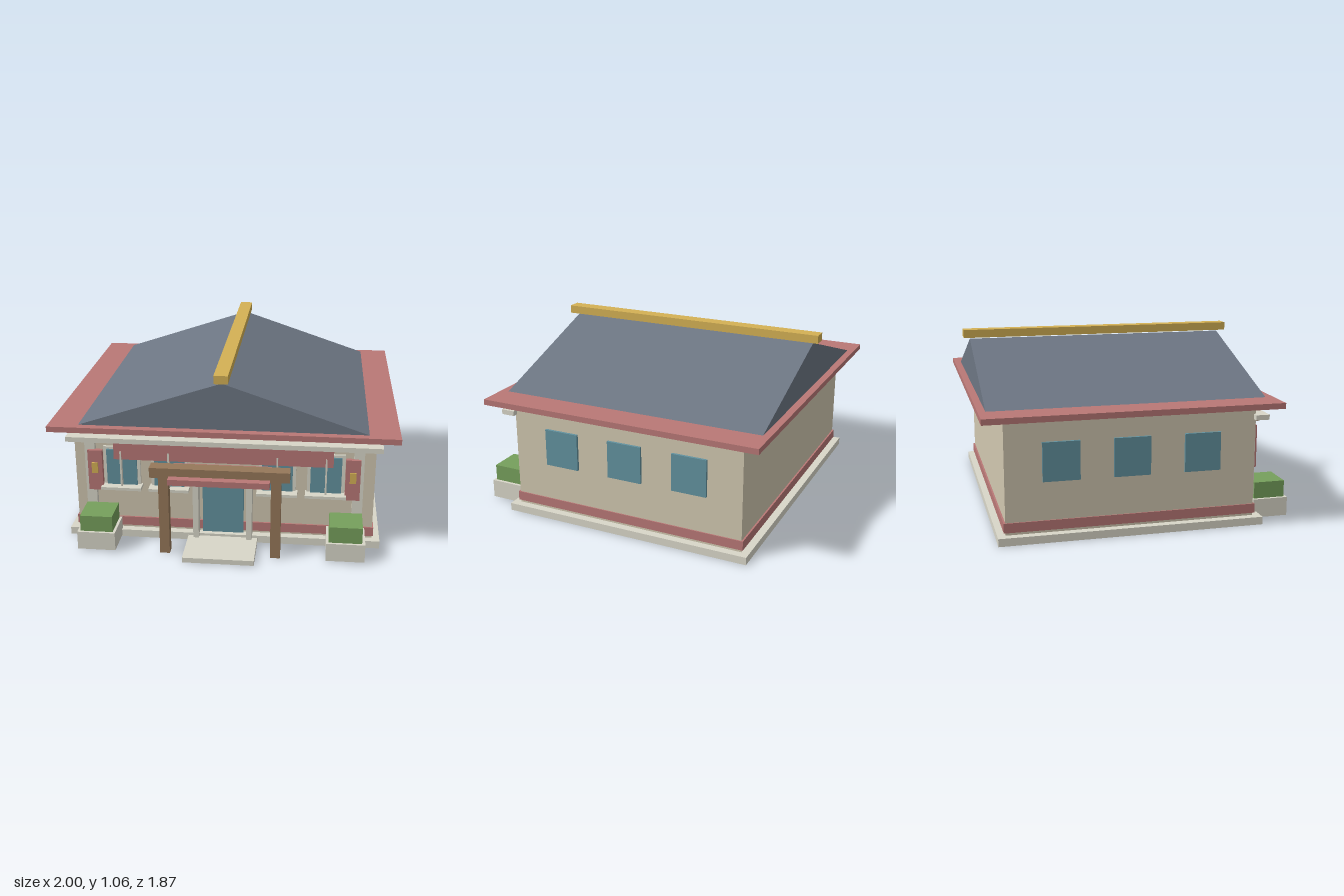
import * as THREE from 'three';

const COLORS = {
  wall: 0xd1c7b0, pale: 0xd9d7c9, red: 0xb97876, slate: 0x6d7683,
  gold: 0xd4b155, glass: 0x63929f, wood: 0x96785a, green: 0x76a05c,
};
const MATERIALS = {};
for (const key in COLORS) {
  MATERIALS[key] = new THREE.MeshStandardMaterial({ color: COLORS[key], flatShading: true });
}

export function createModel() {
  const model = new THREE.Group();
  model.name = 'hall';

  // Box given by its extents along each axis
  function box(name, mat, [x0, x1], [y0, y1], [z0, z1]) {
    const mesh = new THREE.Mesh(new THREE.BoxGeometry(x1 - x0, y1 - y0, z1 - z0), MATERIALS[mat]);
    mesh.position.set((x0 + x1) / 2, (y0 + y1) / 2, (z0 + z1) / 2);
    mesh.name = name;
    model.add(mesh);
    return mesh;
  }
  // The same box on both sides of x = 0
  function pair(name, mat, [x0, x1], y, z) {
    box(name + 'Left', mat, [x0, x1], y, z);
    box(name + 'Right', mat, [-x1, -x0], y, z);
  }

  // Body
  box('foundation', 'pale', [-0.92, 0.92], [0, 0.045], [-0.85, 0.665]);
  box('walls', 'wall', [-0.875, 0.875], [0.04, 0.7], [-0.805, 0.62]);
  box('baseBand', 'red', [-0.882, 0.882], [0.06, 0.115], [-0.815, 0.63]);

  // Roof: eave slab, gabled prism and ridge beam
  box('eaveSlab', 'red', [-1, 1], [0.692, 0.725], [-0.93, 0.745]);
  const gable = new THREE.Shape([
    new THREE.Vector2(-0.94, 0.687),
    new THREE.Vector2(0.94, 0.687),
    new THREE.Vector2(0, 1),
  ]);
  const roof = new THREE.Mesh(
    new THREE.ExtrudeGeometry(gable, { depth: 1.585, bevelEnabled: false }), MATERIALS.slate);
  roof.position.z = -0.888;
  roof.name = 'roof';
  model.add(roof);
  box('ridgeBeam', 'gold', [-0.04, 0.04], [1.01, 1.058], [-0.927, 0.738]);

  // Front trim
  box('cornice', 'pale', [-0.91, 0.91], [0.613, 0.642], [0.61, 0.69]);
  pair('pilaster', 'pale', [0.75, 0.81], [0.045, 0.615], [0.61, 0.65]);
  box('signBoard', 'red', [-0.635, 0.635], [0.505, 0.614], [0.61, 0.668]);
  pair('banner', 'red', [0.705, 0.79], [0.305, 0.555], [0.64, 0.668]);
  pair('bannerEmblem', 'gold', [0.73, 0.766], [0.415, 0.48], [0.66, 0.678]);

  // Front windows: frame, glass, mullion and sill
  for (const x of [0.595, 0.315]) {
    const span = (half) => [x - half, x + half];
    pair('frontWindowFrame', 'pale', span(0.108), [0.33, 0.57], [0.61, 0.635]);
    pair('frontWindowGlass', 'glass', span(0.089), [0.335, 0.555], [0.62, 0.645]);
    pair('frontWindowMullion', 'pale', span(0.005), [0.335, 0.555], [0.63, 0.672]);
    pair('frontWindowSill', 'pale', span(0.118), [0.318, 0.335], [0.61, 0.695]);
  }

  // Side windows
  for (const z of [0.307, -0.098, -0.495]) {
    pair('sideWindow', 'glass', [0.865, 0.89], [0.335, 0.555], [z - 0.104, z + 0.104]);
  }

  // Entrance
  box('door', 'glass', [-0.12, 0.12], [0.05, 0.43], [0.61, 0.645]);
  pair('doorJamb', 'pale', [0.14, 0.173], [0.02, 0.46], [0.61, 0.692]);
  box('doorStep', 'pale', [-0.205, 0.205], [0, 0.03], [0.65, 0.935]);

  // Porch gate
  pair('porchPost', 'wood', [0.29, 0.347], [0, 0.485], [0.783, 0.837]);
  box('porchBeam', 'wood', [-0.395, 0.395], [0.48, 0.54], [0.77, 0.845]);
  box('porchCanopy', 'red', [-0.285, 0.285], [0.458, 0.493], [0.66, 0.89]);

  // Planters with clipped hedges
  pair('planter', 'pale', [0.607, 0.828], [0.01, 0.12], [0.645, 0.855]);
  pair('hedge', 'green', [0.622, 0.81], [0.115, 0.217], [0.655, 0.84]);

  return model;
}
